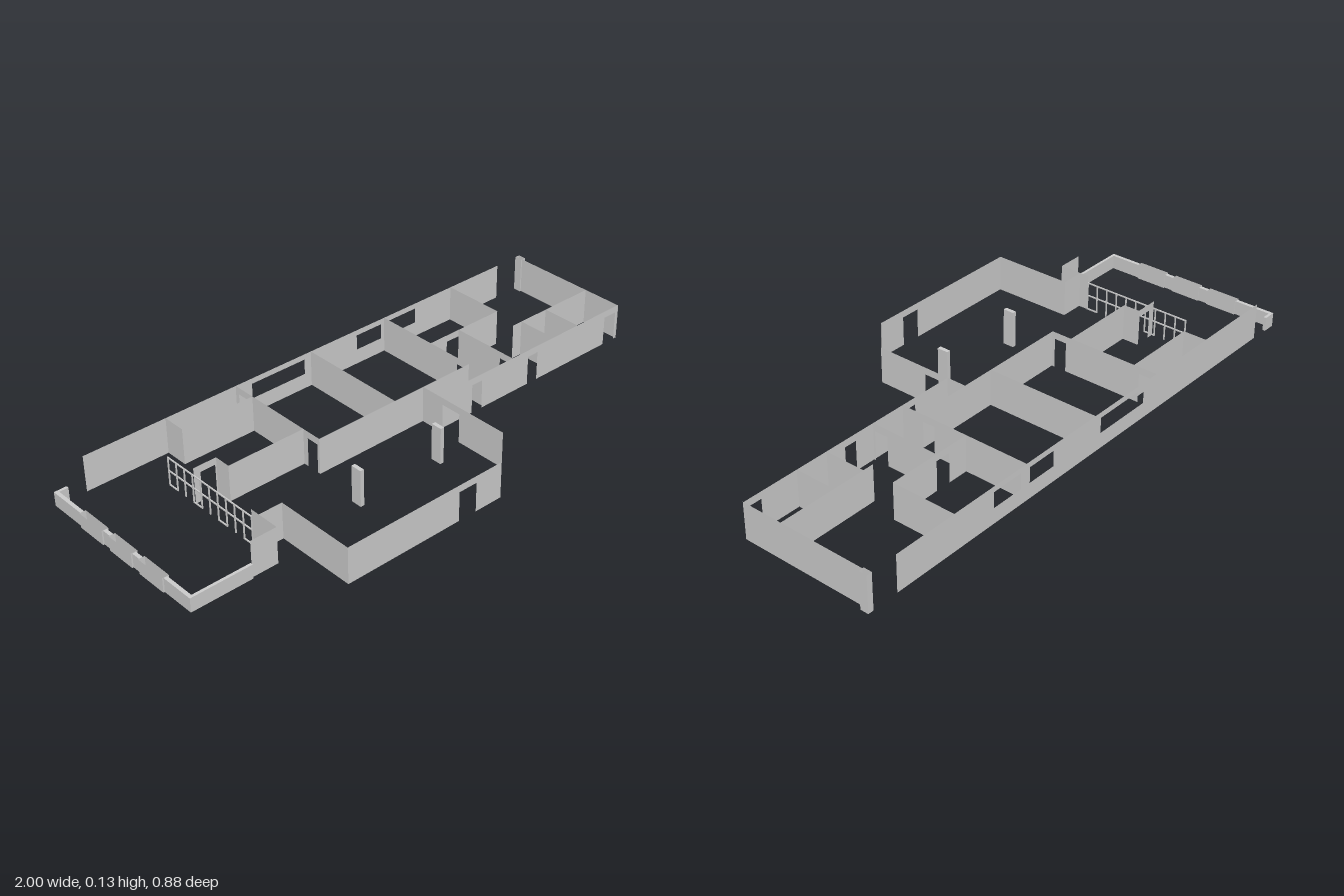
import * as THREE from 'three';

const H = 0.13;        // wall height
const DOOR = 0.105;    // door head height
const SILL = 0.055;    // window sill height
const mat = new THREE.MeshStandardMaterial({ color: 0xcccccc, flatShading: true, side: THREE.DoubleSide });

export function createModel() {
  const model = new THREE.Group();

  // upright sheet from (x1,z1) to (x2,z2) between two heights
  function sheet(parent, name, x1, z1, x2, z2, y0, y1) {
    const dx = x2 - x1, dz = z2 - z1;
    const m = new THREE.Mesh(new THREE.PlaneGeometry(Math.hypot(dx, dz), y1 - y0), mat);
    m.position.set((x1 + x2) / 2, (y0 + y1) / 2, (z1 + z2) / 2);
    m.rotation.y = -Math.atan2(dz, dx);
    m.name = name;
    parent.add(m);
  }

  // thin wall with openings [from, to, bottom, top]; from/to run along its axis
  function wall(name, x1, z1, x2, z2, openings = []) {
    const g = new THREE.Group();
    g.name = name;
    const alongX = Math.abs(x2 - x1) > Math.abs(z2 - z1);
    const a0 = alongX ? x1 : z1, a1 = alongX ? x2 : z2;
    const part = (a, b, y0, y1) => {
      if (b - a < 1e-4 || y1 - y0 < 1e-4) return;
      const p = (s) => {
        const t = (s - a0) / (a1 - a0);
        return [x1 + (x2 - x1) * t, z1 + (z2 - z1) * t];
      };
      sheet(g, name + 'Panel', ...p(a), ...p(b), y0, y1);
    };
    let at = a0;
    for (const [from, to, bottom, top] of openings) {
      part(at, from, 0, H);
      part(from, to, 0, bottom);
      part(from, to, top, H);
      at = to;
    }
    part(at, a1, 0, H);
    model.add(g);
  }

  // open-topped shaft of four sheets
  function shaft(name, x1, x2, z1, z2, h) {
    const g = new THREE.Group();
    g.name = name;
    for (const x of [x1, x2]) sheet(g, name + 'Side', x, z1, x, z2, 0, h);
    for (const z of [z1, z2]) sheet(g, name + 'End', x1, z, x2, z, 0, h);
    model.add(g);
  }

  function box(name, x1, x2, y1, y2, z1, z2, parent = model) {
    const m = new THREE.Mesh(new THREE.BoxGeometry(x2 - x1, y2 - y1, z2 - z1), mat);
    m.position.set((x1 + x2) / 2, (y1 + y2) / 2, (z1 + z2) / 2);
    m.name = name;
    parent.add(m);
  }
  const door = (a, b) => [a, b, 0, DOOR];
  const win = (a, b) => [a, b, SILL, 0.11];

  // outer walls
  wall('backWall', -0.885, -0.435, 0.885, -0.435, [win(-0.24, -0.02), win(0.21, 0.32), win(0.36, 0.48)]);
  wall('endWall', 0.985, -0.435, 0.985, 0.05);
  shaft('endPier', 0.98, 1, -0.437, -0.408, H);
  wall('frontWall', 0.13, 0.047, 0.985, 0.047, [door(0.28, 0.325), door(0.54, 0.585), door(0.92, 0.975)]);

  // projecting front room with a chamfered corner
  wall('frontRoomWall', -0.595, 0.437, 0.015, 0.437, [door(-0.16, -0.09)]);
  wall('chamferWall', 0.015, 0.437, 0.13, 0.33);
  wall('frontRoomSideWall', 0.13, -0.025, 0.13, 0.33, [door(0.065, 0.14)]);
  wall('frontRoomEndWall', -0.595, 0.15, -0.595, 0.437);
  wall('returnWall', -0.775, 0.23, -0.68, 0.23);
  wall('screenReturn', -0.68, 0.115, -0.68, 0.23);
  wall('screenLink', -0.68, 0.15, -0.595, 0.15);

  // partitions
  wall('corridorWall', -0.305, -0.025, 0.335, -0.025);
  wall('crossWall', -0.305, -0.435, -0.305, -0.025, [door(-0.42, -0.37), door(-0.08, -0.035)]);
  wall('crossWall', 0.008, -0.435, 0.008, -0.025);
  wall('crossWall', 0.335, -0.435, 0.335, 0.047, [door(-0.08, -0.035)]);
  wall('crossWall', 0.65, -0.435, 0.65, -0.205);
  wall('hallWall', 0.335, -0.205, 0.65, -0.205, [door(0.41, 0.465)]);
  wall('hallSideWall', 0.465, -0.205, 0.465, 0.047, [door(-0.01, 0.04)]);
  wall('washroomBackWall', 0.62, -0.1, 0.985, -0.1);
  for (const x of [0.66, 0.78]) wall('washroomDivider', x, -0.1, x, 0.047);
  wall('loungeWall', -0.595, -0.1, -0.305, -0.1);
  wall('loungeReturn', -0.595, -0.16, -0.595, -0.1);
  wall('loungeDoorWall', -0.68, -0.16, -0.595, -0.16, [door(-0.655, -0.6)]);
  wall('storeWall', -0.58, -0.35, -0.305, -0.35);
  wall('storeEndWall', -0.58, -0.435, -0.58, -0.35);

  // free-standing columns
  for (const x of [-0.32, 0.01]) box('column', x - 0.007, x + 0.007, 0, H + 0.001, 0.148, 0.188);

  // glazed screen: posts and rails
  const screen = new THREE.Group();
  screen.name = 'glazedScreen';
  const z0 = -0.29, z1 = 0.115, bays = 10, step = (z1 - z0) / bays;
  for (let i = 0; i <= bays; i++) {
    const z = z0 + i * step;
    box('screenPost', -0.682, -0.678, 0, DOOR, z - 0.002, z + 0.002, screen);
  }
  for (const y of [SILL, DOOR - 0.002]) box('screenRail', -0.682, -0.678, y - 0.002, y + 0.002, z0, z1, screen);
  for (let i = 0; i < bays; i += 3) {
    const z = z0 + i * step;
    box('screenFoot', -0.682, -0.678, 0, 0.004, z, z + step, screen);
  }
  model.add(screen);

  // low terrace parapet with open planters
  const P = 0.05;
  const planters = [[-0.295, -0.18], [-0.145, -0.035], [0, 0.115]];
  let at = -0.438;
  for (const [a, b] of [...planters, [0.235, 0.235]]) {
    box('parapet', -0.995, -0.982, 0, P, at, a);
    at = b;
  }
  box('parapetBackArm', -0.995, -0.95, 0, P, -0.438, -0.428);
  box('parapetFrontArm', -0.995, -0.775, 0, P, 0.226, 0.236);
  for (const [a, b] of planters) shaft('planter', -1, -0.977, a, b, P + 0.002);

  return model;
}
